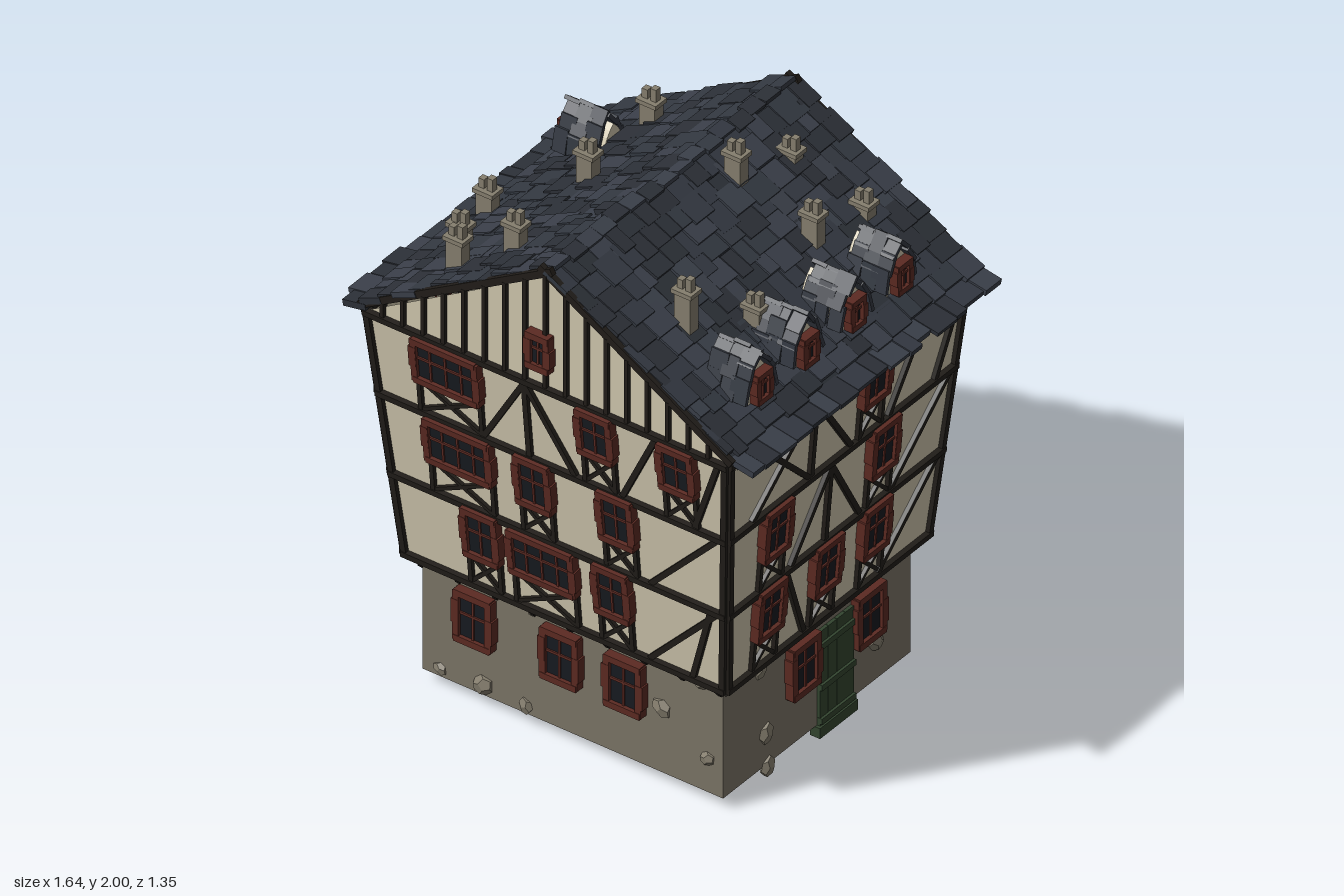
import * as THREE from 'three';
import { mergeGeometries } from 'three/addons/utils/BufferGeometryUtils.js';

const CREAM = 0xcfc6ad, STONE = 0x7b7466, TIMBER = 0x211d19, RED = 0x5c2a22, GLASS = 0x171a20;
const CHIMNEY = 0x857e6e, DOOR = 0x33452f, SLATES = [0x3a3f49, 0x333841, 0x2c3037];
const CZ = 0.02, FLOORS = [0.5, 0.82, 1.14, 1.46];

// Small seeded generator
let seed = 7;
const rnd = (a, b) => {
  seed = (seed * 16807) % 2147483647;
  return a + (b - a) * seed / 2147483647;
};

const mats = {};
const mat = (color) => (mats[color] ??= new THREE.MeshStandardMaterial({ color, flatShading: true, side: THREE.DoubleSide }));

function add(parent, name, geometry, color) {
  const mesh = new THREE.Mesh(geometry, mat(color));
  mesh.name = name;
  parent.add(mesh);
  return mesh;
}

function group(parent, name, x = 0, y = 0, z = 0, ry = 0) {
  const g = new THREE.Group();
  g.name = name;
  g.position.set(x, y, z);
  g.rotation.y = ry;
  parent.add(g);
  return g;
}

function box(parent, name, color, w, h, d, x, y, z, rz = 0) {
  const m = add(parent, name, new THREE.BoxGeometry(w, h, d), color);
  m.position.set(x, y, z);
  m.rotation.z = rz;
  return m;
}

// Straight beam between two points of a wall plane
function bar(parent, name, x1, y1, x2, y2, w = 0.02, d = 0.022, z = 0.004) {
  const l = Math.hypot(x2 - x1, y2 - y1);
  box(parent, name, TIMBER, w, l, d, (x1 + x2) / 2, (y1 + y2) / 2, z, Math.atan2(x1 - x2, y2 - y1));
}

function panel(parent, name, color, pts) {
  add(parent, name, new THREE.ShapeGeometry(new THREE.Shape(pts.map((p) => new THREE.Vector2(...p)))), color);
}

// Window with overlapping frame bars, pane and glazing bars
function windowUnit(parent, u, y, w, h, f = 0.024) {
  const g = group(parent, 'window', u, y, 0.01);
  box(g, 'pane', GLASS, w - f, h - f, 0.02, 0, 0, 0);
  for (const s of [-1, 1]) {
    box(g, 'frameSide', RED, f, h * 0.95, 0.04, s * (w - f) / 2, 0, 0.002);
    box(g, 'frameRail', RED, w * 0.94, f, 0.044, 0, s * (h - f) / 2, 0.002);
    box(g, 'frameBlock', RED, f * 1.15, h * 0.45, 0.042, s * (w - f + 0.008) / 2, -s * h * 0.08, 0.002);
  }
  const cols = w > 0.2 ? 4 : 2;
  for (let i = 1; i < cols; i++) box(g, 'mullion', RED, 0.008, h - f, 0.026, (i / cols - 0.5) * (w - f), 0, 0.002);
  box(g, 'transom', RED, w - f, 0.009, 0.027, 0, 0.012, 0.002);
}

// narrow, wide: window centres per storey; base: ground floor windows
// fans, crosses: [storey, centre]; braces: [storey, top, bottom]
const WALLS = [
  { name: 'frontWall', narrow: [[-0.3, 0.215], [-0.07, 0.255], [0.195, 0.515]], wide: [[-0.06], [-0.365], [-0.39]],
    base: [-0.375, -0.035, 0.215], fans: [[2, -0.085]], crosses: [], braces: [[0, 0.6, 0.51], [2, 0.43, 0.28]],
    stones: [[-0.52, 0.07], [-0.35, 0.08], [-0.185, 0.07], [0.53, 0.17], [0.35, 0.29], [0.51, 0.46], [-0.16, 0.46]] },
  { name: 'doorWall', narrow: [[-0.35, -0.05, 0.205], [-0.35, 0.215], [0.14]], wide: [[], [], []],
    base: [-0.09, 0.255], fans: [[1, -0.06]], crosses: [[2, -0.33]], braces: [[0, -0.26, -0.14], [2, -0.17, 0.04], [2, 0.4, 0.24]],
    stones: [[-0.27, 0.165], [0.31, 0.19], [-0.3, 0.43], [-0.26, 0.03], [0.43, 0.46]] },
  { name: 'backWall', narrow: [[-0.29, -0.06, 0.22], [-0.33, -0.05, 0.26], [0.32]], wide: [[], [], []],
    base: [-0.25, -0.02, 0.21], fans: [[2, 0.03]], crosses: [[2, -0.37]], braces: [[0, -0.4, -0.58], [1, -0.44, -0.62]],
    stones: [[-0.28, 0.15], [-0.1, 0.13], [0.1, 0.1], [0.3, 0.17], [0.2, 0.04], [0.45, 0.36]] },
  { name: 'plainWall', narrow: [[-0.34, 0.25], [-0.12, 0.22], [-0.17, 0.28]], wide: [[-0.06], [], []],
    base: [-0.11, 0.14, 0.37], fans: [[1, 0.05], [2, 0.06]], crosses: [], braces: [[2, -0.5, -0.3]],
    stones: [[-0.35, 0.12], [0, 0.11], [0.25, 0.15], [0.42, 0.06]] },
];

// Framed window of an upper storey, with posts and a cross below the sill
function storeyWindow(parent, s, u, w, h) {
  const lo = FLOORS[s], y = lo + 0.225, e = w / 2 - 0.012;
  windowUnit(parent, u, y, w, h);
  for (const k of [-1, 1]) {
    bar(parent, 'windowPost', u + k * e, lo, u + k * e, lo + 0.32, 0.016);
    bar(parent, 'crossBrace', u - k * e, lo + 0.01, u + k * e, y - h / 2, 0.014, 0.018);
  }
}

function buildWall(root, spec, i) {
  const gabled = i % 2 === 0;
  const [w0, w1, d0, d1] = gabled ? [0.63, 0.71, 0.535, 0.63] : [0.535, 0.63, 0.63, 0.71];
  const wall = group(root, spec.name, 0, 0, CZ, i * Math.PI / 2);
  const half = (y) => w0 + (w1 - w0) * (y - 0.5) / 0.96;

  // Leaning timber-framed storeys
  const tilt = group(wall, 'leaningStoreys', 0, 0.5, d0);
  tilt.rotation.x = Math.atan((d1 - d0) / 0.96);
  const up = group(tilt, 'timberFrame', 0, -0.5, 0);
  const brace = (s, a, b) => bar(up, 'brace', a, FLOORS[s] + 0.31, b, FLOORS[s] + 0.01);
  panel(up, 'plaster', CREAM, [[-w0, 0.5], [w0, 0.5], [w1, 1.464], [-w1, 1.464]]);
  for (const y of FLOORS) bar(up, 'floorBeam', -half(y) - 0.005, y, half(y) + 0.005, y, 0.022, 0.03);
  for (const s of [-1, 1]) bar(up, 'cornerPost', s * (w0 - 0.006), 0.5, s * (w1 - 0.006), 1.46, 0.022, 0.024);
  for (let s = 0; s < 3; s++) {
    const corner = half(FLOORS[s + 1]) - 0.035;
    brace(s, corner, corner - (s < 2 ? 0.28 : 0.11));
    for (const u of spec.narrow[s]) storeyWindow(up, s, u, 0.143, s < 2 ? 0.2 : 0.185);
    for (const u of spec.wide[s]) storeyWindow(up, s, u, 0.265, 0.18);
  }
  for (const [s, u] of spec.fans) for (const k of [-1, 0, 1]) brace(s, u, u + k * 0.18);
  for (const [s, u] of spec.crosses) {
    for (const k of [-1, 1]) brace(s, u - k * 0.15, u + k * 0.15);
    brace(s, u + 0.16, u + 0.16);
  }
  for (const b of spec.braces) brace(...b);

  // Stone ground floor with jetty brackets
  const bw = gabled ? 0.59 : 0.495, bd = gabled ? 0.495 : 0.59;
  const base = group(wall, 'groundFloor', 0, 0, bd);
  panel(base, 'stoneWall', STONE, [[-bw, 0.04], [bw, 0.04], [bw, 0.5], [-bw, 0.5]]);
  box(base, 'jettySill', TIMBER, bw * 2 + 0.06, 0.012, 0.06, 0, 0.497, 0.012);
  const n = gabled ? 9 : 8;
  for (let k = 0; k < n; k++) {
    const u = (k / (n - 1) * 2 - 1) * (bw - 0.01);
    box(base, 'bracket', TIMBER, 0.018, 0.055, 0.022, u, 0.47, 0.02, u * 0.6).rotation.x = 0.6;
  }
  for (const u of spec.base) windowUnit(base, u, 0.33, 0.15, 0.2);
  for (const [u, y] of spec.stones) {
    const r = rnd(0.028, 0.046);
    const m = add(base, 'boulder', new THREE.DodecahedronGeometry(r), CHIMNEY);
    m.position.set(u, Math.max(y, r * 0.8), 0);
    m.scale.set(1, 0.8, 0.5);
    m.rotation.z = u * 7;
  }

  // Boarded gable with a small window
  if (!gabled) return;
  const gable = group(wall, 'gable', 0, 0, d1);
  panel(gable, 'gablePlaster', CREAM, [[-0.71, 1.455], [0.71, 1.455], [0, 1.89]]);
  for (let k = -8; k <= 8; k++) {
    const x = k * 0.08;
    if (k) bar(gable, 'stud', x, 1.46, x, 1.9 - 0.6 * Math.abs(x), 0.014);
    else for (const [a, b] of [[1.46, 1.54], [1.67, 1.9]]) bar(gable, 'stud', 0, a, 0, b, 0.014);
  }
  windowUnit(gable, -0.02, 1.6, 0.095, 0.14);
  const z = i === 0 ? 0.004 : 0.035;
  for (const s of [-1, 1]) bar(gable, 'bargeBoard', s * -0.025, 1.922, s * 0.73, 1.475, 0.026, 0.02, z);
}

// Slate of given size, turned about z, at a position
function slate(w, h, d, x, y, z, rz) {
  return new THREE.BoxGeometry(w, h, d).rotateZ(rz).translate(x, y, z);
}

function buildRoof(root) {
  const roof = group(root, 'roof');
  const tones = [[], [], []];
  const put = (g) => tones[Math.floor(rnd(0, 2.99))].push(g);
  const pitch = Math.atan(0.59);
  for (const s of [-1, 1]) {
    box(roof, 'roofDeck', SLATES[2], 0.87, 0.018, 1.28, s * 0.37, 1.895 - 0.59 * 0.37, 0, -s * pitch);
    // Overlapping rows of uneven slates, the eaves row kicked flatter
    for (let row = 0; row < 12; row++) {
      const x = 0.045 + row * 0.0635, eave = row === 11;
      const end = rnd(0.64, 0.67);
      for (let z = -rnd(0.64, 0.67); z < end - 0.02;) {
        const w = Math.min(rnd(0.05, 0.11), end - z);
        const dx = rnd(-0.014, 0.014) + (eave ? 0.015 : 0);
        const y = eave ? 1.468 : 1.912 - 0.59 * (x + dx) + rnd(-0.002, 0.009);
        put(slate(rnd(0.09, 0.11), rnd(0.014, 0.024), w - 0.003, s * (x + dx), y, z + w / 2, -s * (eave ? 0.18 : pitch - rnd(0.04, 0.13))));
        z += w;
      }
    }
  }
  // Ridge slates
  for (let z = -0.64; z < 0.64; z += 0.08) put(slate(0.055, 0.014, 0.078, rnd(-0.01, 0.01), 1.917, z + 0.04, rnd(-0.4, 0.4)));
  tones.forEach((t, i) => add(roof, 'slates', mergeGeometries(t), SLATES[i]));
}

// Pointed-arch dormer with slated hood, facing outwards on side s
function buildDormer(root, s, z) {
  const g = group(root, 'dormer', s * 0.64, 0, z, s * Math.PI / 2);
  const arch = new THREE.Shape();
  arch.moveTo(-0.058, 1.53).lineTo(0.058, 1.53).lineTo(0.058, 1.59);
  arch.quadraticCurveTo(0.05, 1.66, 0, 1.705).quadraticCurveTo(-0.05, 1.66, -0.058, 1.59);
  const body = add(g, 'dormerWall', new THREE.ExtrudeGeometry(arch, { depth: 0.16, bevelEnabled: false, curveSegments: 5 }), CREAM);
  body.position.z = -0.16;
  windowUnit(g, 0, 1.605, 0.08, 0.115, 0.02);
  const hood = [[0.078, 1.575], [0.06, 1.64], [0.035, 1.69], [0, 1.728]];
  const parts = [];
  for (const k of [-1, 1]) for (let i = 0; i < 3; i++) for (let j = 0; j < 3; j++) {
    const [x1, y1] = hood[i], [x2, y2] = hood[i + 1];
    parts.push(slate(Math.hypot(x2 - x1, y2 - y1) + 0.018, 0.014, rnd(0.05, 0.07), k * (x1 + x2) / 2, (y1 + y2) / 2 + rnd(-0.004, 0.008),
      -j * 0.052 - rnd(0.005, 0.02), k * (Math.atan2(y2 - y1, x2 - x1) + rnd(-0.15, 0.15))));
  }
  add(g, 'dormerSlates', mergeGeometries(parts), SLATES[1]);
}

// Chimney stack with cap and two pots
function buildChimney(root, x, z, top) {
  const foot = 1.87 - 0.59 * Math.abs(x), neck = top - 0.055;
  const g = group(root, 'chimney', x, 0, z);
  box(g, 'stack', CHIMNEY, 0.062, neck - foot, 0.046, 0, (neck + foot) / 2, 0);
  box(g, 'cap', CHIMNEY, 0.08, 0.016, 0.06, 0, neck, 0);
  for (const [px, h] of [[-0.017, 0.042], [0.017, 0.055]]) box(g, 'pot', CHIMNEY, 0.022, h, 0.024, px, neck + h / 2, 0);
}

export function createModel() {
  const root = new THREE.Group();
  root.name = 'timberFramedHouse';
  WALLS.forEach((spec, i) => buildWall(root, spec, i));
  buildRoof(root);
  for (const z of [0.4, 0.155, -0.095, -0.34]) buildDormer(root, 1, z);
  buildDormer(root, -1, -0.345);
  [[-0.41, -0.45, 1.82], [-0.36, -0.05, 1.87], [-0.65, 0.09, 1.68], [-0.6, 0.3, 1.69], [-0.28, 0.44, 1.91], [-0.455, 0.51, 1.82],
    [0.17, -0.41, 1.9], [0.415, -0.465, 1.77], [0.39, -0.23, 1.85], [0.125, -0.18, 2.0], [0.475, 0.19, 1.77], [0.36, 0.4, 1.9],
  ].forEach((c) => buildChimney(root, ...c));

  // Plank door with cross battens and step
  const door = group(root, 'door', 0.59, 0, -0.07, Math.PI / 2);
  for (let i = 0; i < 4; i++) box(door, 'plank', DOOR, 0.043, 0.4, 0.024, (i - 1.5) * 0.045, 0.205, 0);
  for (const y of [0.06, 0.19, 0.35]) box(door, 'batten', DOOR, 0.18, 0.022, 0.036, 0, y, 0.003);
  box(door, 'step', DOOR, 0.2, 0.04, 0.04, 0, 0.02, 0);
  return root;
}
